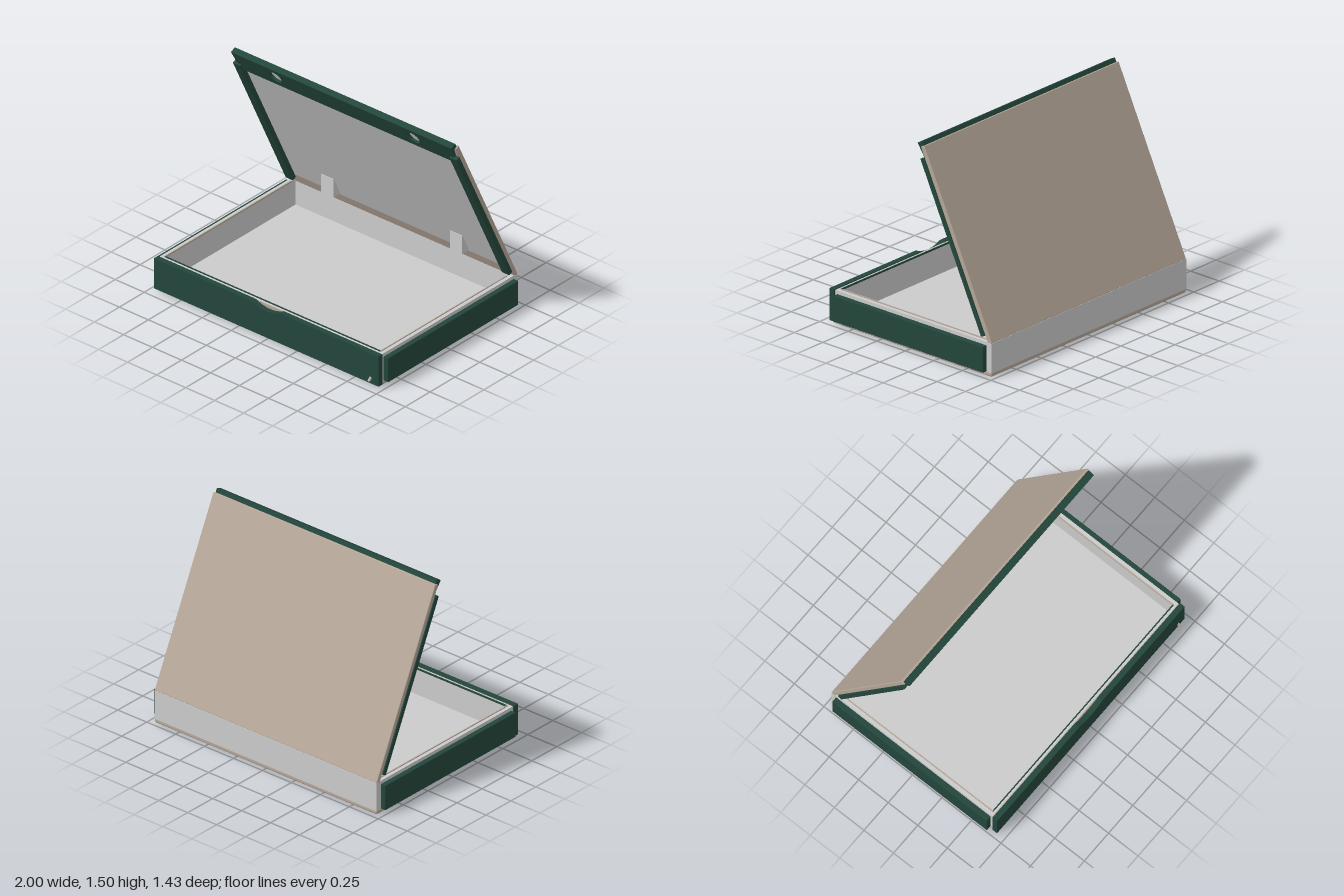
import * as THREE from 'three';
import { RoundedBoxGeometry } from 'three/addons/geometries/RoundedBoxGeometry.js';

const grey = new THREE.MeshStandardMaterial({ color: 0xcccccc });
const green = new THREE.MeshStandardMaterial({ color: 0x23463b });
const tan = new THREE.MeshStandardMaterial({ color: 0xb5a698 });

function add(parent, name, geometry, material) {
  const mesh = new THREE.Mesh(geometry, material);
  mesh.name = name;
  parent.add(mesh);
  return mesh;
}

// Box given by its limits on each axis; r rounds the edges
function box(parent, name, mat, [x0, x1], [y0, y1], [z0, z1], r = 0) {
  const size = [x1 - x0, y1 - y0, z1 - z0];
  const geo = r ? new RoundedBoxGeometry(...size, 2, r) : new THREE.BoxGeometry(...size);
  const mesh = add(parent, name, geo, mat);
  mesh.position.set((x0 + x1) / 2, (y0 + y1) / 2, (z0 + z1) / 2);
  return mesh;
}

// Extrusion of an outline in the xy plane between z0 and z1
function plate(shape, z0, z1) {
  return new THREE.ExtrudeGeometry(shape, { depth: z1 - z0, bevelEnabled: false, curveSegments: 24 })
    .translate(0, 0, z0);
}

// Prism with a (z, y) side outline, running from x0 to x1
function sidePrism(points, x0, x1) {
  const shape = new THREE.Shape(points.map(([z, y]) => new THREE.Vector2(-z, y)));
  return plate(shape, x0, x1).rotateY(Math.PI / 2);
}

function makeTray() {
  const tray = new THREE.Group();
  tray.name = 'tray';

  box(tray, 'basePlate', tan, [-0.96, 0.96], [0, 0.035], [-0.72, 0.67], 0.012);
  box(tray, 'floorLiner', grey, [-0.94, 0.94], [0.03, 0.045], [-0.7, 0.64]);
  box(tray, 'backWall', grey, [-0.96, 0.96], [0.028, 0.24], [-0.72, -0.69]);
  box(tray, 'frontWall', grey, [-0.96, 0.96], [0.028, 0.24], [0.625, 0.645]);
  box(tray, 'frontRim', green, [-0.93, 0.93], [0.235, 0.246], [0.62, 0.628]);

  for (const s of [-1, 1]) {
    const span = (a, b) => [Math.min(s * a, s * b), Math.max(s * a, s * b)];
    box(tray, 'sideWall', grey, span(0.93, 0.96), [0.028, 0.24], [-0.72, 0.645]);
    box(tray, 'sideRim', tan, span(0.926, 0.934), [0.235, 0.246], [-0.65, 0.625]);
    box(tray, 'sidePanel', green, span(0.96, 1), [0.033, 0.217], [-0.68, 0.63], 0.004);
  }

  // Front panel with a shallow finger notch in its top edge
  const front = new THREE.Shape();
  front.moveTo(-0.968, 0.016);
  front.lineTo(0.968, 0.016);
  front.lineTo(0.968, 0.245);
  front.lineTo(0.12, 0.245);
  front.quadraticCurveTo(0, 0.187, -0.12, 0.245);
  front.lineTo(-0.968, 0.245);
  add(tray, 'frontPanel', plate(front, 0.65, 0.69), green);
  box(tray, 'frontBacking', tan, [-0.96, 0.96], [0.028, 0.24], [0.643, 0.651]);

  // Small catch on the front and the peg inside
  add(tray, 'frontCatch', sidePrism([[0.715, 0.042], [0.685, 0.07], [0.685, 0.042]], 0.892, 0.908), tan);
  box(tray, 'catchStem', tan, [0.892, 0.908], [0.045, 0.062], [0.6, 0.69]);
  box(tray, 'innerPeg', tan, [-0.915, -0.895], [0.044, 0.065], [0.5, 0.61], 0.006);
  return tray;
}

function makeLid() {
  // Local y runs up the lid, local z points to its inner side
  const lid = new THREE.Group();
  lid.name = 'lid';
  lid.position.set(0, 0.24, -0.72);
  lid.rotation.x = 0.445;

  box(lid, 'lidPanel', tan, [-0.96, 0.96], [0, 1.373], [0, 0.034], 0.006);
  box(lid, 'lidLiner', grey, [-0.93, 0.93], [0.09, 1.36], [0.03, 0.037]);
  for (const s of [-1, 1]) {
    const x = s > 0 ? [0.9, 0.965] : [-0.965, -0.9];
    box(lid, 'lidSideRail', green, x, [0.06, 1.297], [0.035, 0.07], 0.004);
  }

  // Top strip with tapered ends and two round holes
  const strip = new THREE.Shape();
  strip.moveTo(-0.9, 1.241);
  strip.lineTo(0.9, 1.241);
  strip.lineTo(0.935, 1.3);
  strip.lineTo(0.95, 1.403);
  strip.lineTo(-0.95, 1.403);
  strip.lineTo(-0.935, 1.3);
  for (const x of [-0.595, 0.595]) {
    strip.holes.push(new THREE.Path().absarc(x, 1.324, 0.05, 0, Math.PI * 2, true));
  }
  add(lid, 'lidTopStrip', plate(strip, 0.036, 0.058), green);
  box(lid, 'lidTopLip', green, [-0.95, 0.95], [1.373, 1.403], [0.014, 0.04]);
  return lid;
}

export function createModel() {
  const model = new THREE.Group();
  model.name = 'openCase';
  model.add(makeTray(), makeLid());

  // Wedge tabs near the hinge, with an upright front face
  const wedge = [[-0.648, 0.315], [-0.571, 0.315], [-0.571, 0.455], [-0.582, 0.455]];
  for (const x of [-0.555, 0.555]) {
    add(model, 'hingeTab', sidePrism(wedge, x - 0.053, x + 0.053), grey);
  }
  return model;
}
